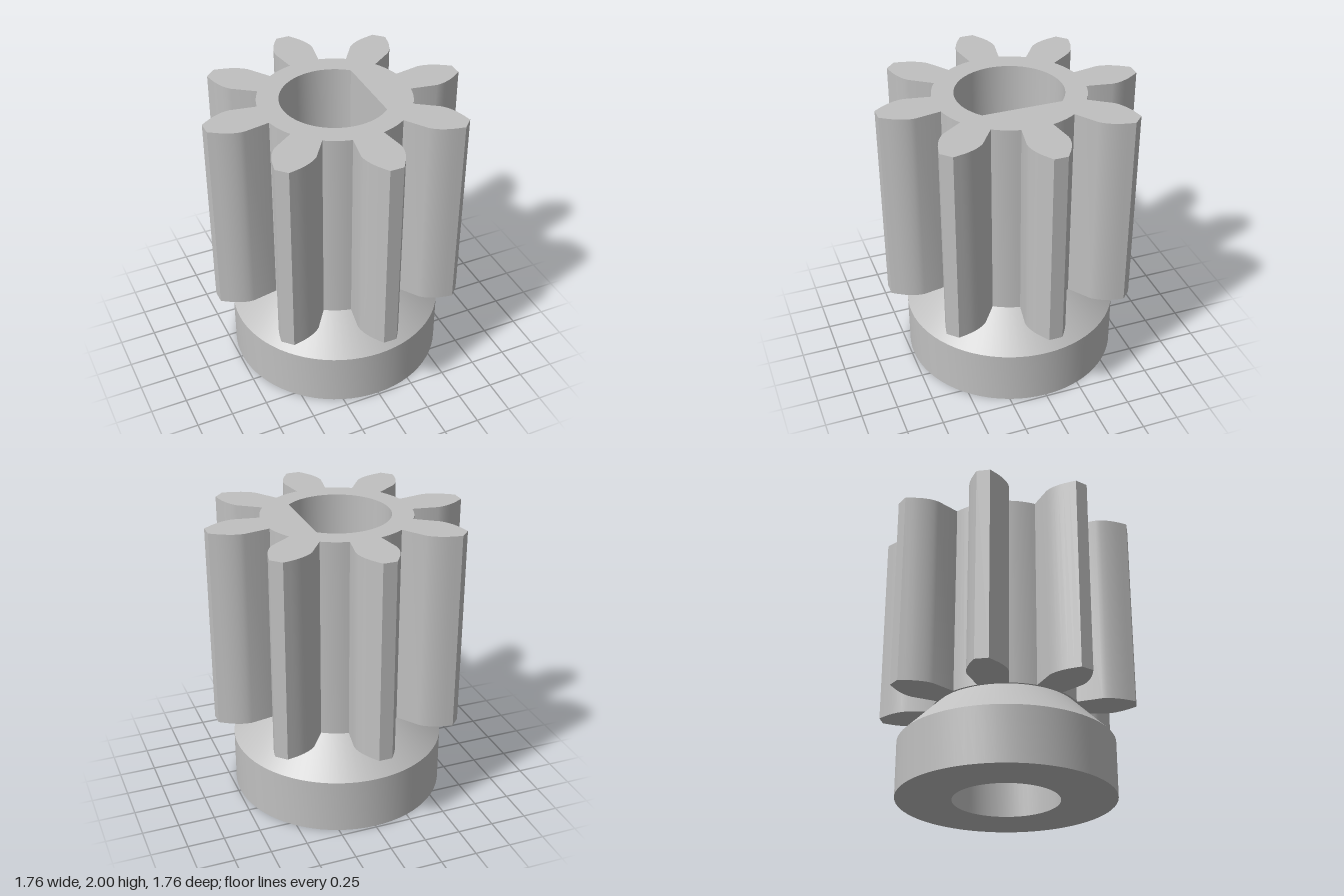
import * as THREE from 'three';
import { toCreasedNormals } from 'three/addons/utils/BufferGeometryUtils.js';

const TEETH = 8, ROOT = 0.505, BORE = 0.36, FLAT = 0.24;
const GEAR_BASE = 0.625, TOP = 2;

// One flank of a tooth: [distance from axis along the tooth, half width]
const FLANK = [
  [0.494, 0.104], [0.668, 0.135], [0.7, 0.133], [0.735, 0.125],
  [0.77, 0.112], [0.805, 0.095], [0.84, 0.073], [0.88, 0.046],
];

function gearShape() {
  const points = [];
  for (let i = 0; i < TEETH; i++) {
    const a = (i / TEETH) * Math.PI * 2;
    const add = (r, w) => points.push(new THREE.Vector2(
      r * Math.cos(a) - w * Math.sin(a), r * Math.sin(a) + w * Math.cos(a)));
    FLANK.forEach(([r, w]) => add(r, -w));
    [...FLANK].reverse().forEach(([r, w]) => add(r, w));
    // rounded root between this tooth and the next
    const start = Math.atan2(FLANK[0][1], FLANK[0][0]);
    const gap = (Math.PI * 2) / TEETH - 2 * start;
    for (let k = 1; k < 6; k++) {
      const t = start + (gap * k) / 6;
      add(ROOT * Math.cos(t), ROOT * Math.sin(t));
    }
  }
  const shape = new THREE.Shape(points);

  // D-shaped bore with its flat on +x
  const half = Math.acos(FLAT / BORE), hole = [];
  for (let k = 0; k <= 56; k++) {
    const t = half + ((Math.PI * 2 - 2 * half) * k) / 56;
    hole.push(new THREE.Vector2(BORE * Math.cos(t), BORE * Math.sin(t)));
  }
  shape.holes.push(new THREE.Path(hole));
  return shape;
}

export function createModel() {
  const model = new THREE.Group();
  model.name = 'pinionGear';
  const metal = new THREE.MeshStandardMaterial({ color: 0xc0c0c0 });
  metal.name = 'grey metal';

  function addPart(name, geometry) {
    const mesh = new THREE.Mesh(toCreasedNormals(geometry, 0.4), metal);
    mesh.name = name;
    model.add(mesh);
  }

  // toothed section
  const gear = new THREE.ExtrudeGeometry(gearShape(), { depth: TOP - GEAR_BASE, bevelEnabled: false });
  gear.rotateX(-Math.PI / 2);
  gear.translate(0, GEAR_BASE, 0);
  addPart('toothedGear', gear);

  // collar with round bore and conical shoulder
  const profile = [[BORE, GEAR_BASE], [BORE, 0], [0.735, 0], [0.735, 0.38], [0.49, GEAR_BASE]];
  addPart('collar', new THREE.LatheGeometry(profile.map(([r, y]) => new THREE.Vector2(r, y)), 72));

  return model;
}
